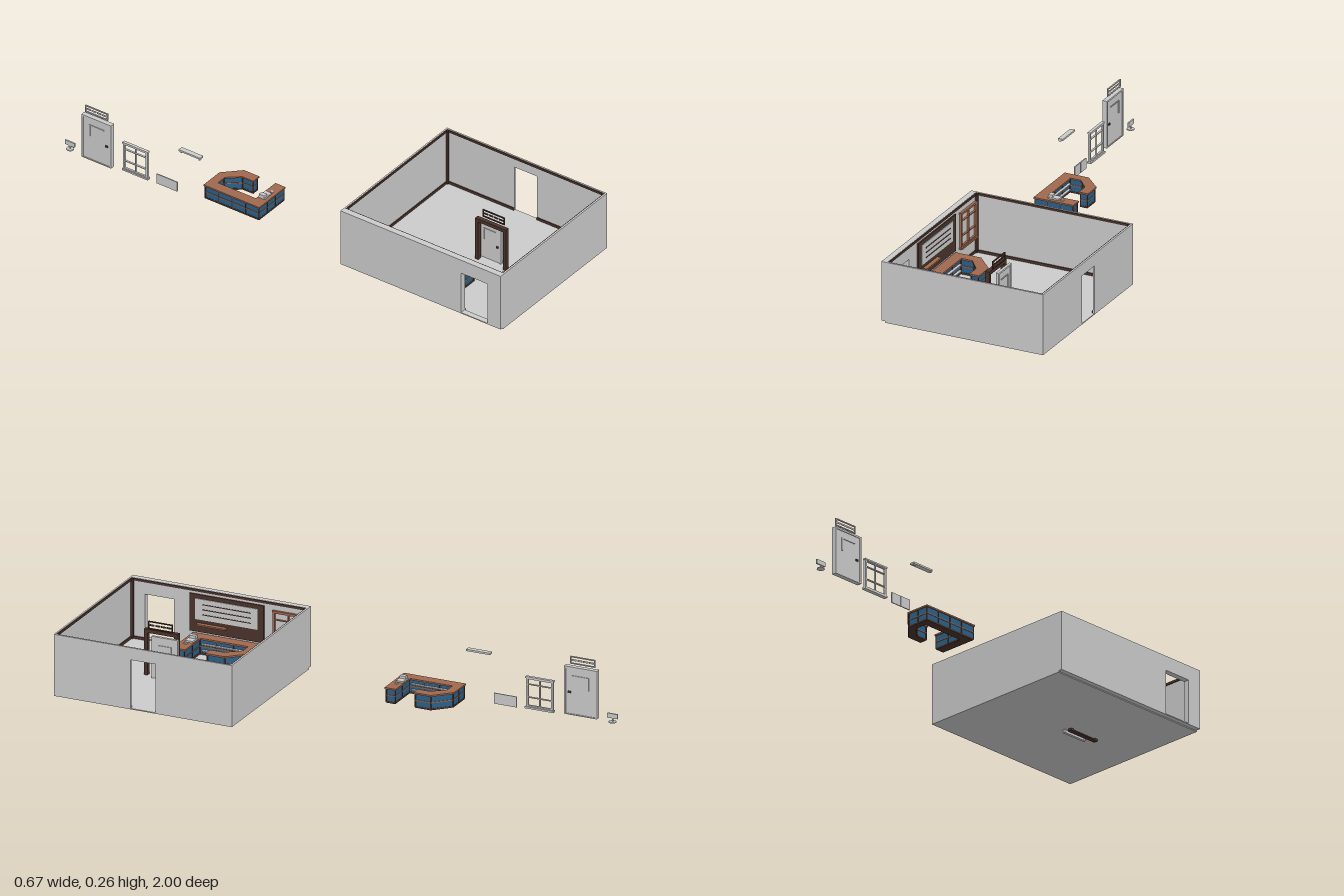
import * as THREE from 'three';

const mat = (color, side = THREE.FrontSide) => new THREE.MeshStandardMaterial({ color, side });
const GREY = mat(0xcccccc), WOOD = mat(0xa0684e), DARK = mat(0x4a332b), BLUE = mat(0x2b6088);

function add(parent, name, geometry, material) {
  const mesh = new THREE.Mesh(geometry, material);
  mesh.name = name;
  parent.add(mesh);
  return mesh;
}

// Box given by its limits on each axis
function box(parent, name, [x0, x1], [y0, y1], [z0, z1], material = GREY) {
  const mesh = add(parent, name, new THREE.BoxGeometry(x1 - x0, y1 - y0, z1 - z0), material);
  mesh.position.set((x0 + x1) / 2, (y0 + y1) / 2, (z0 + z1) / 2);
  return mesh;
}

function group(parent, name) {
  const g = new THREE.Group();
  g.name = name;
  parent.add(g);
  return g;
}

const rect = (a0, a1, b0, b1) => [[a0, b0], [a1, b0], [a1, b1], [a0, b1]].map(p => new THREE.Vector2(...p));

// Upright slab in the z-y plane with rectangular holes
function slab(parent, name, [x0, x1], [y0, y1], [z0, z1], holes, material = GREY) {
  const shape = new THREE.Shape(rect(z0, z1, y0, y1));
  holes.forEach(h => shape.holes.push(new THREE.Path(rect(...h))));
  const geometry = new THREE.ExtrudeGeometry(shape, { depth: x1 - x0, bevelEnabled: false });
  add(parent, name, geometry.rotateY(-Math.PI / 2).translate(x1, 0, 0), material);
}

// Flat plan shape in x-z, extruded between two heights
function planSlab(parent, name, points, y0, y1, material) {
  const shape = new THREE.Shape(points.map(p => new THREE.Vector2(...p)));
  const geometry = new THREE.ExtrudeGeometry(shape, { depth: y1 - y0, bevelEnabled: false });
  add(parent, name, geometry.rotateX(Math.PI / 2).translate(0, y1, 0), material);
}

function room(root) {
  const g = group(root, 'room');
  box(g, 'floor', [-0.318, 0.335], [0.014, 0.018], [0.27, 1]);
  slab(g, 'leftWall', [-0.335, -0.312], [0.02, 0.258], [0.27, 1], [[0.82, 0.94, 0.024, 0.2]]);
  slab(g, 'rightWall', [0.329, 0.335], [0.015, 0.258], [0.27, 1], [[0.582, 0.685, 0.018, 0.21]]);
  box(g, 'backWall', [-0.32, 0.33], [0.015, 0.258], [0.27, 0.276]);
  box(g, 'frontWall', [-0.32, 0.33], [0.015, 0.258], [0.994, 1]);
  // Cornice, skirting and corner posts
  for (const [y0, y1] of [[0.248, 0.257], [0.018, 0.028]]) {
    box(g, 'backTrim', [-0.312, 0.329], [y0, y1], [0.276, 0.28], DARK);
    box(g, 'frontTrim', [-0.312, 0.329], [y0, y1], [0.99, 0.994], DARK);
    const doorway = y0 < 0.1;
    for (const [z0, z1] of doorway ? [[0.276, 0.582], [0.685, 0.994]] : [[0.276, 0.994]])
      box(g, 'rightTrim', [0.325, 0.329], [y0, y1], [z0, z1], DARK);
    for (const [z0, z1] of doorway ? [[0.276, 0.82], [0.94, 0.994]] : [[0.276, 0.994]])
      box(g, 'leftTrim', [-0.312, -0.308], [y0, y1], [z0, z1], DARK);
  }
  for (const x of [-0.312, 0.32]) for (const z of [0.276, 0.985])
    box(g, 'cornerPost', [x, x + 0.009], [0.018, 0.257], [z, z + 0.009], DARK);
}

// C-shaped service counter; i insets the outline
function outline(i) {
  return [
    [-0.285 + i, -0.39 + i], [-0.185 - i / 2, -0.39 + i], [-0.12 - i, -0.325 + i / 2],
    [-0.12 - i, -0.255 - i], [-0.158 + i, -0.255 - i], [-0.158 + i, -0.305 - i / 2],
    [-0.2 + i / 2, -0.355 - i], [-0.243 - i, -0.355 - i], [-0.243 - i, -0.182 + i],
    [-0.12 - i, -0.182 + i], [-0.12 - i, -0.136 - i], [-0.285 + i, -0.136 - i],
  ];
}

function counter(root, name) {
  const g = group(root, name);
  planSlab(g, 'plinth', outline(0.004), 0.02, 0.027, DARK);
  planSlab(g, 'lowerBody', outline(0.005), 0.027, 0.048, BLUE);
  planSlab(g, 'middleBand', outline(0.003), 0.048, 0.052, WOOD);
  planSlab(g, 'upperBody', outline(0.005), 0.052, 0.075, BLUE);
  planSlab(g, 'worktop', outline(0), 0.075, 0.081, WOOD);
  // Dark dividers at the corners and along the long sides
  const pts = outline(0.005);
  pts.forEach(([x, z], k) => {
    const [nx, nz] = pts[(k + 1) % pts.length];
    const n = Math.max(1, Math.round(Math.hypot(nx - x, nz - z) / 0.06));
    for (let j = 0; j < n; j++) {
      const px = x + (nx - x) * j / n, pz = z + (nz - z) * j / n;
      box(g, 'divider', [px - 0.002, px + 0.002], [0.022, 0.075], [pz - 0.002, pz + 0.002], DARK);
    }
  });
  // Shelves behind the counter
  for (const y of [0.035, 0.058])
    box(g, 'innerShelf', [-0.25, -0.238], [y, y + 0.004], [-0.35, -0.187]);
  // Till
  box(g, 'tillBase', [-0.232, -0.188], [0.081, 0.087], [-0.178, -0.15]);
  box(g, 'tillScreen', [-0.232, -0.215], [0.087, 0.097], [-0.176, -0.152]);
  box(g, 'cardReader', [-0.18, -0.17], [0.081, 0.084], [-0.165, -0.152]);
  return g;
}

// Six-pane window with a sill
function windowFrame(root, name, x, [y0, y1], [z0, z1], material) {
  const g = group(root, name), t = 0.008, b = 0.003, zm = (z0 + z1) / 2, h = y1 - y0;
  const rows = [y0 + t, y0 + h * 0.33, y0 + h * 0.76, y1 - t], holes = [];
  for (let r = 0; r < 3; r++) {
    const a = rows[r] + (r ? b / 2 : 0), c = rows[r + 1] - (r < 2 ? b / 2 : 0);
    holes.push([z0 + t, zm - b / 2, a, c], [zm + b / 2, z1 - t, a, c]);
  }
  slab(g, 'panes', [x, x + 0.008], [y0, y1], [z0, z1], holes, material);
  box(g, 'sill', [x - 0.003, x + 0.013], [y0 - 0.004, y0 + 0.003], [z0 - 0.003, z1 + 0.003], material);
  box(g, 'head', [x - 0.002, x + 0.01], [y1 - 0.004, y1 + 0.002], [z0 - 0.002, z1 + 0.002], material);
}

// Panelled door leaf with a handle
function door(root, name, [x0, x1], [y0, y1], [z0, z1]) {
  const g = group(root, name), w = z1 - z0, h = y1 - y0;
  box(g, 'leaf', [x0 + 0.003, x1 - 0.003], [y0, y1], [z0, z1]);
  slab(g, 'casing', [x0, x1], [y0, y1], [z0, z1], [[z0 + 0.007, z1 - 0.007, y0 + 0.004, y1 - 0.007]]);
  for (const x of [x0, x1 - 0.003]) {
    box(g, 'rail', [x, x + 0.003], [y0 + h * 0.8, y0 + h * 0.82], [z0 + w * 0.25, z0 + w * 0.75]);
    box(g, 'stile', [x, x + 0.003], [y0 + h * 0.55, y0 + h * 0.8], [z0 + w * 0.25, z0 + w * 0.28]);
    box(g, 'handle', [x - 0.001, x + 0.004], [y0 + h * 0.45, y0 + h * 0.49], [z1 - w * 0.2, z1 - w * 0.12], DARK);
  }
}

// Open sign frame with a broken middle bar
function sign(root, name, x, [y0, y1], [z0, z1], material = GREY) {
  const g = group(root, name), t = 0.004, ym = (y0 + y1) / 2;
  slab(g, 'signFrame', [x, x + 0.005], [y0, y1], [z0, z1], [[z0 + t, z1 - t, y0 + t, y1 - t]], material);
  const step = (z1 - z0 - 2 * t) / 4;
  for (let i = 0; i < 4; i++)
    box(g, 'signBar', [x + 0.001, x + 0.004], [ym - 0.003, ym + 0.003],
      [z0 + t + i * step + 0.002, z0 + t + (i + 1) * step - 0.002], material);
}

export function createModel() {
  const root = new THREE.Group();
  root.name = 'shopInterior';
  room(root);

  // Counter in the room and a smaller one standing behind it
  counter(root, 'outerCounter');
  const inner = counter(root, 'roomCounter');
  inner.scale.set(1.06, 1.08, 1.13);
  inner.position.set(-0.005, -0.002, 0.893);

  // Fittings on the left wall
  windowFrame(root, 'roomWindow', -0.312, [0.085, 0.225], [0.285, 0.412], WOOD);
  const board = group(root, 'wallBoard');
  box(board, 'backing', [-0.312, -0.307], [0.09, 0.238], [0.45, 0.755], DARK);
  box(board, 'panel', [-0.307, -0.304], [0.14, 0.222], [0.475, 0.73]);
  for (const y of [0.16, 0.18, 0.2])
    box(board, 'slat', [-0.304, -0.302], [y, y + 0.003], [0.5, 0.7], DARK);
  box(board, 'shelf', [-0.307, -0.29], [0.12, 0.126], [0.6, 0.72], WOOD);

  // Free-standing doorway in the middle of the room
  slab(root, 'doorFrame', [-0.012, 0.005], [0.005, 0.2], [0.65, 0.79], [[0.664, 0.776, 0.01, 0.186]], DARK);
  door(root, 'roomDoor', [0.012, 0.023], [0.001, 0.183], [0.643, 0.75]);
  sign(root, 'roomSign', 0.006, [0.204, 0.236], [0.67, 0.77], DARK);

  // Row of loose fittings at the back
  box(root, 'looseShelf', [-0.311, -0.291], [0.208, 0.215], [-0.485, -0.387]);
  for (const z of [-0.475, -0.391])
    box(root, 'shelfBracket', [-0.311, -0.3], [0.203, 0.208], [z - 0.002, z + 0.002]);
  const panel = group(root, 'loosePanel');
  box(panel, 'sheet', [-0.302, -0.298], [0.016, 0.058], [-0.592, -0.498]);
  box(panel, 'seam', [-0.303, -0.297], [0.016, 0.058], [-0.546, -0.544]);
  windowFrame(root, 'looseWindow', -0.309, [0.024, 0.143], [-0.74, -0.628], GREY);
  door(root, 'looseDoor', [-0.328, -0.309], [0.02, 0.21], [-0.915, -0.78]);
  sign(root, 'looseSign', -0.32, [0.22, 0.25], [-0.905, -0.802]);

  // Small card terminal on a round foot
  const stand = group(root, 'terminal');
  box(stand, 'head', [-0.315, -0.309], [0.035, 0.053], [-1, -0.957]);
  box(stand, 'stem', [-0.314, -0.31], [0.022, 0.036], [-0.981, -0.976]);
  add(stand, 'foot', new THREE.CylinderGeometry(0.014, 0.015, 0.004, 20), GREY).position.set(-0.312, 0.021, -0.978);
  return root;
}
